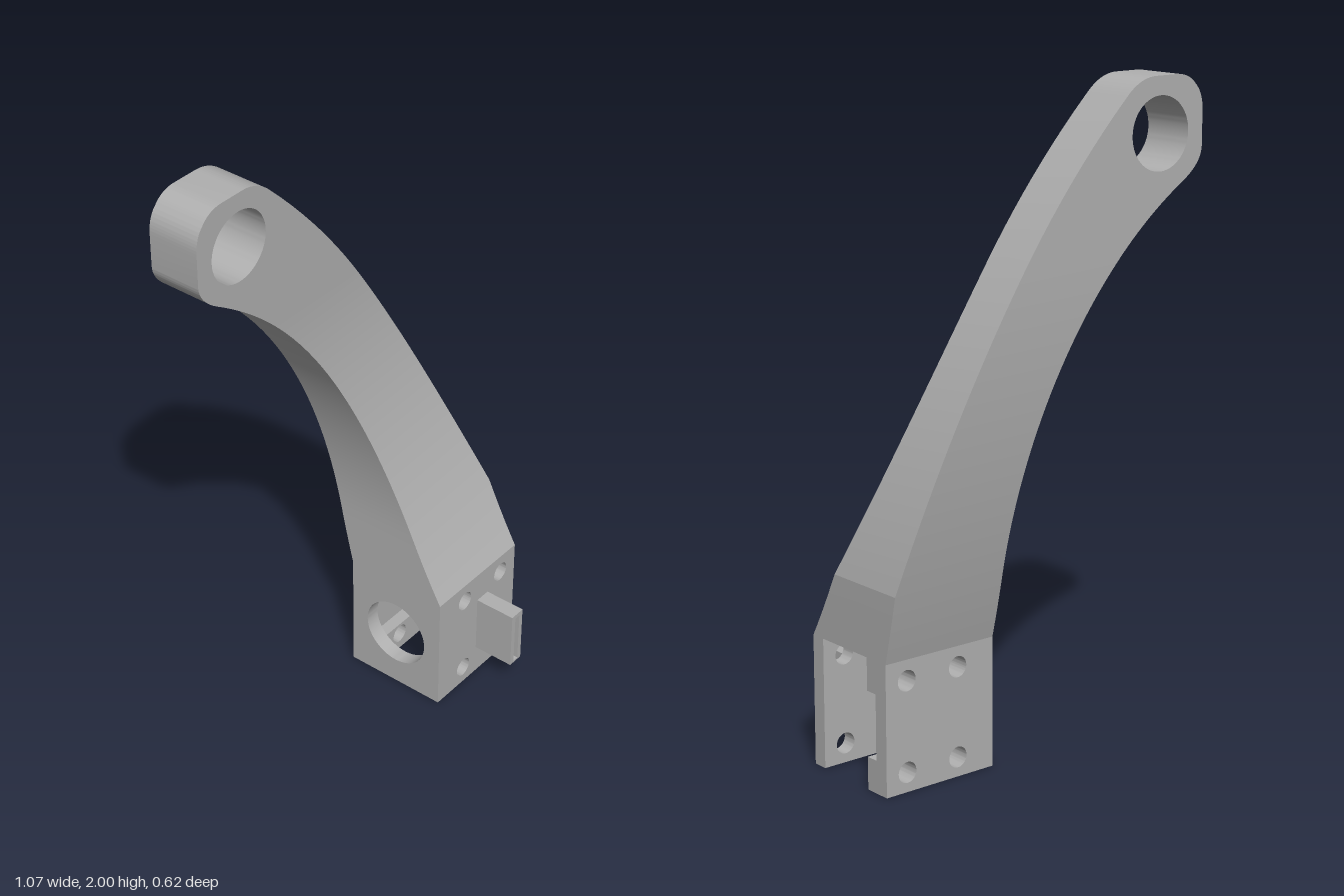
import * as THREE from 'three';
import { toCreasedNormals } from 'three/addons/utils/BufferGeometryUtils.js';

const CREASE = 0.2;
const CUT = 1.5;                 // height where the arm becomes flat
const X0 = 0.14, X1 = 0.53;      // sides of the base
const BASE_H = 0.4, HALF_D = 0.173;

// side curves and thickness curves of the arm, as functions of height
const innerX = y => (y < 0.6 ? X0 : X0 - 1.29 + Math.sqrt(1.29 ** 2 - (y - 0.6) ** 2));
const outerX = y => (y < 0.61 ? X1 : -2.225 + Math.sqrt(2.84 ** 2 - (y + 0.081) ** 2));
const ease = y => ((CUT - y) / (CUT - BASE_H)) ** 2;
const frontZ = y => -0.143 + (HALF_D + 0.143) * ease(y);
const backZ = y => -0.31 + (0.31 - HALF_D) * ease(y);

function rect(x0, y0, x1, y1, Type = THREE.Shape) {
  return new Type([[x0, y0], [x1, y0], [x1, y1], [x0, y1]].map(p => new THREE.Vector2(...p)));
}

function circle(x, y, r) {
  return new THREE.Path().absarc(x, y, r, 0, Math.PI * 2, true);
}

function extrude(shape, from, to) {
  const g = new THREE.ExtrudeGeometry(shape, { depth: to - from, bevelEnabled: false, curveSegments: 40 });
  g.translate(0, 0, from);
  return toCreasedNormals(g, CREASE);
}

// curved, sideways-sweeping lower arm lofted from rectangular sections
function armGeometry() {
  const rows = [];
  for (let i = 0; i < 6; i++) rows.push(BASE_H + (0.61 - BASE_H) * i / 6);
  for (let i = 0; i <= 24; i++) rows.push(0.61 + (CUT - 0.61) * i / 24);
  const pos = [], index = [];
  rows.forEach((y, r) => {
    const l = innerX(y), o = outerX(y), f = frontZ(y), b = backZ(y);
    pos.push(l, y, f, o, y, f, o, y, b, l, y, b);
    if (r === 0) return;
    for (let k = 0; k < 4; k++) {
      const n = (k + 1) % 4, lo = (r - 1) * 4, hi = r * 4;
      index.push(lo + k, lo + n, hi + n, lo + k, hi + n, hi + k);
    }
  });
  index.push(0, 2, 1, 0, 3, 2);  // underside, the ceiling of the socket
  const g = new THREE.BufferGeometry();
  g.setAttribute('position', new THREE.Float32BufferAttribute(pos, 3));
  g.setIndex(index);
  return toCreasedNormals(g, CREASE);
}

// flat upper arm ending in the rounded eye
function eyeShape() {
  const s = new THREE.Shape();
  s.moveTo(innerX(CUT), CUT);
  const n = 10;
  for (let i = 0; i <= n; i++) {
    const y = CUT + (1.95 - CUT) * i / n;
    s.lineTo(outerX(y), y);
  }
  s.quadraticCurveTo(-0.29, 2, -0.35, 2);
  s.lineTo(-0.43, 2);
  s.quadraticCurveTo(-0.48, 2, -0.507, 1.967);
  s.quadraticCurveTo(-0.535, 1.94, -0.535, 1.89);
  s.lineTo(-0.535, 1.79);
  s.quadraticCurveTo(-0.535, 1.737, -0.46, 1.69);
  for (let i = 1; i < n; i++) {
    const y = 1.69 + (CUT - 1.69) * i / n;
    s.lineTo(innerX(y), y);
  }
  s.holes.push(circle(-0.37, 1.835, 0.109));
  return s;
}

// plate with the screw holes that fall inside its height
function screwPlate(y0, y1, z0, z1) {
  const s = rect(X0, y0, X1, y1);
  for (const x of [0.27, 0.455])
    for (const y of [0.06, 0.337])
      if (y > y0 && y < y1) s.holes.push(circle(x, y, 0.032));
  return extrude(s, z0, z1);
}

export function createModel() {
  const group = new THREE.Group();
  const grey = new THREE.MeshStandardMaterial({ color: 0xb0b0b0 });
  grey.name = 'grey';
  const add = (name, geometry) => {
    const m = new THREE.Mesh(geometry, grey);
    m.name = name;
    group.add(m);
  };

  add('curvedArm', armGeometry());
  add('armEye', extrude(eyeShape(), -0.31, -0.143));

  // open socket: front wall, back wall with a groove, and end wall
  add('socketFrontWall', screwPlate(0, BASE_H, 0.125, HALF_D));
  add('socketBackWall', screwPlate(0, BASE_H, -HALF_D, -0.125));
  add('grooveLowerRail', screwPlate(0, 0.1, -0.125, -0.085));
  add('grooveUpperRail', screwPlate(0.3, BASE_H, -0.125, -0.085));
  const end = rect(-0.125, 0, 0.125, BASE_H);
  end.holes.push(circle(0, 0.2, 0.114));
  add('socketEndWall', extrude(end, X0, X0 + 0.05).rotateY(Math.PI / 2));

  // slotted tab on the front
  const tab = rect(0.336, 0.1, 0.39, 0.297);
  tab.holes.push(rect(0.353, 0.106, 0.374, 0.283, THREE.Path));
  add('slottedTab', extrude(tab, HALF_D, 0.31));

  return group;
}
